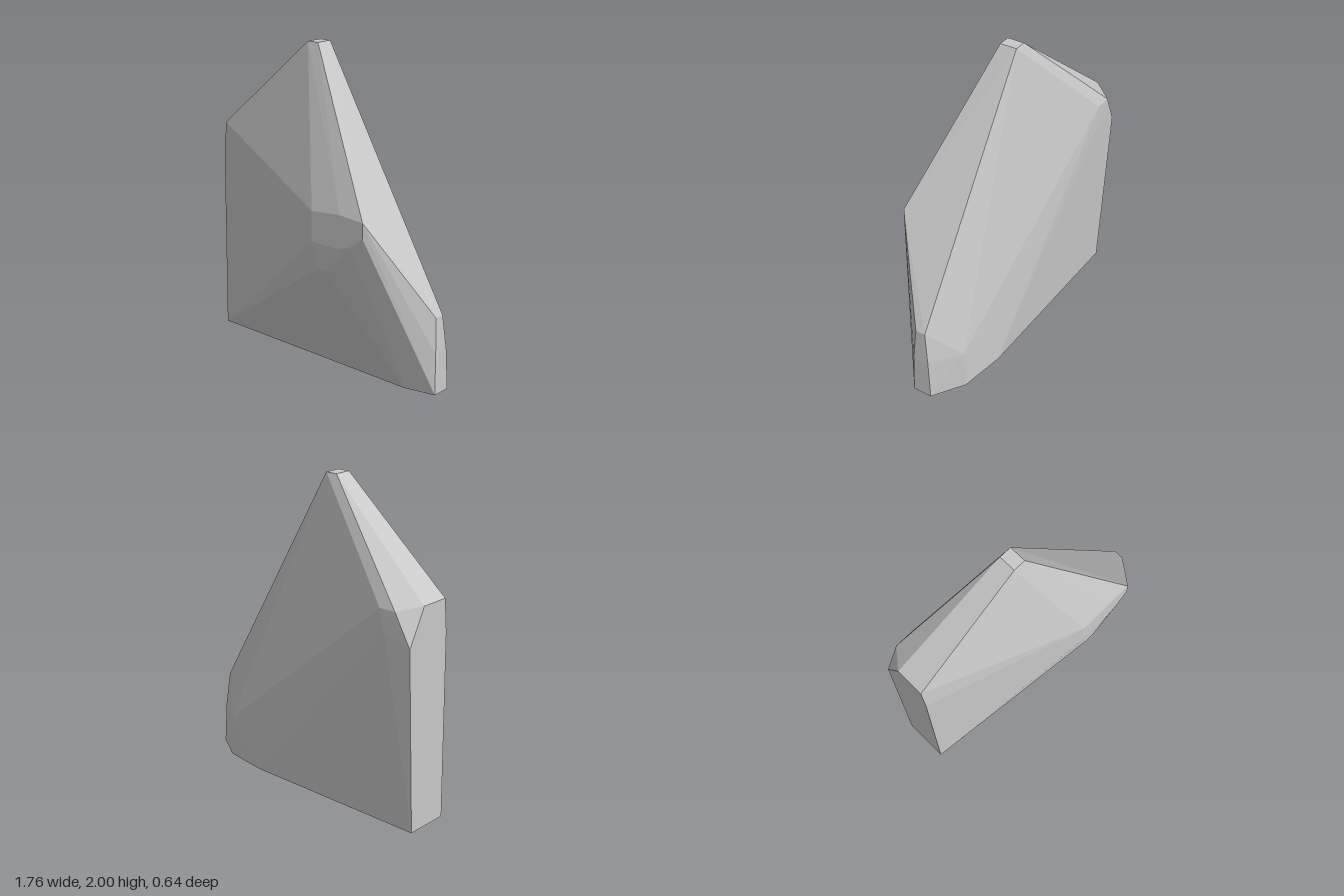
import * as THREE from 'three';
import { ConvexGeometry } from 'three/addons/geometries/ConvexGeometry.js';

// Turns a list of coordinates into corner vectors
const corners = (...list) => list.map(([x, y, z]) => new THREE.Vector3(x, y, z));

export function createModel() {
  const stone = new THREE.MeshStandardMaterial({ color: 0xc8c8c8 });
  stone.name = 'light stone grey';

  // Small flat tip
  const tip = corners([-0.14, 2, 0.02], [-0.06, 2, 0.02], [-0.06, 2, -0.09], [-0.14, 2, -0.09]);

  // Upright broken face at -x
  const cutFace = corners(
    [-0.883, 0, 0.03], [-0.883, 1.18, 0.02], [-0.883, 1.385, 0],
    [-0.883, 1.385, -0.19], [-0.883, 1.16, -0.31], [-0.883, 0, -0.255]);

  // Worn bulge on the front
  const frontBulge = corners(
    [0.15, 1.06, 0.315], [0.37, 1.08, 0.318], [0.54, 1.065, 0.315], [0.54, 0.97, 0.315],
    [0.45, 0.9, 0.317], [0.35, 0.87, 0.32], [0.15, 0.87, 0.318], [0.2, 0.71, 0.308], [0.25, 0.71, 0.308]);

  // Narrow edge at +x
  const narrowEdge = corners(
    [0.86, 0.48, 0.02], [0.86, 0.48, -0.045], [0.875, 0.26, 0.035],
    [0.875, 0.26, -0.07], [0.88, 0, 0.04], [0.88, 0, -0.085]);

  // High shoulder and lower corner on the back
  const back = corners(
    [-0.78, 1.36, -0.32], [-0.67, 1.36, -0.32], [-0.7, 1.24, -0.32],
    [0.68, 0.26, -0.2], [0.68, 0, -0.21], [0.38, 0, -0.253]);

  // Front corner of the base
  const base = corners([0.68, 0, 0.08]);

  const rock = new THREE.Mesh(
    new ConvexGeometry([...tip, ...cutFace, ...frontBulge, ...narrowEdge, ...back, ...base]), stone);
  rock.name = 'rock';

  const group = new THREE.Group();
  group.name = 'facetedRock';
  group.add(rock);
  return group;
}
